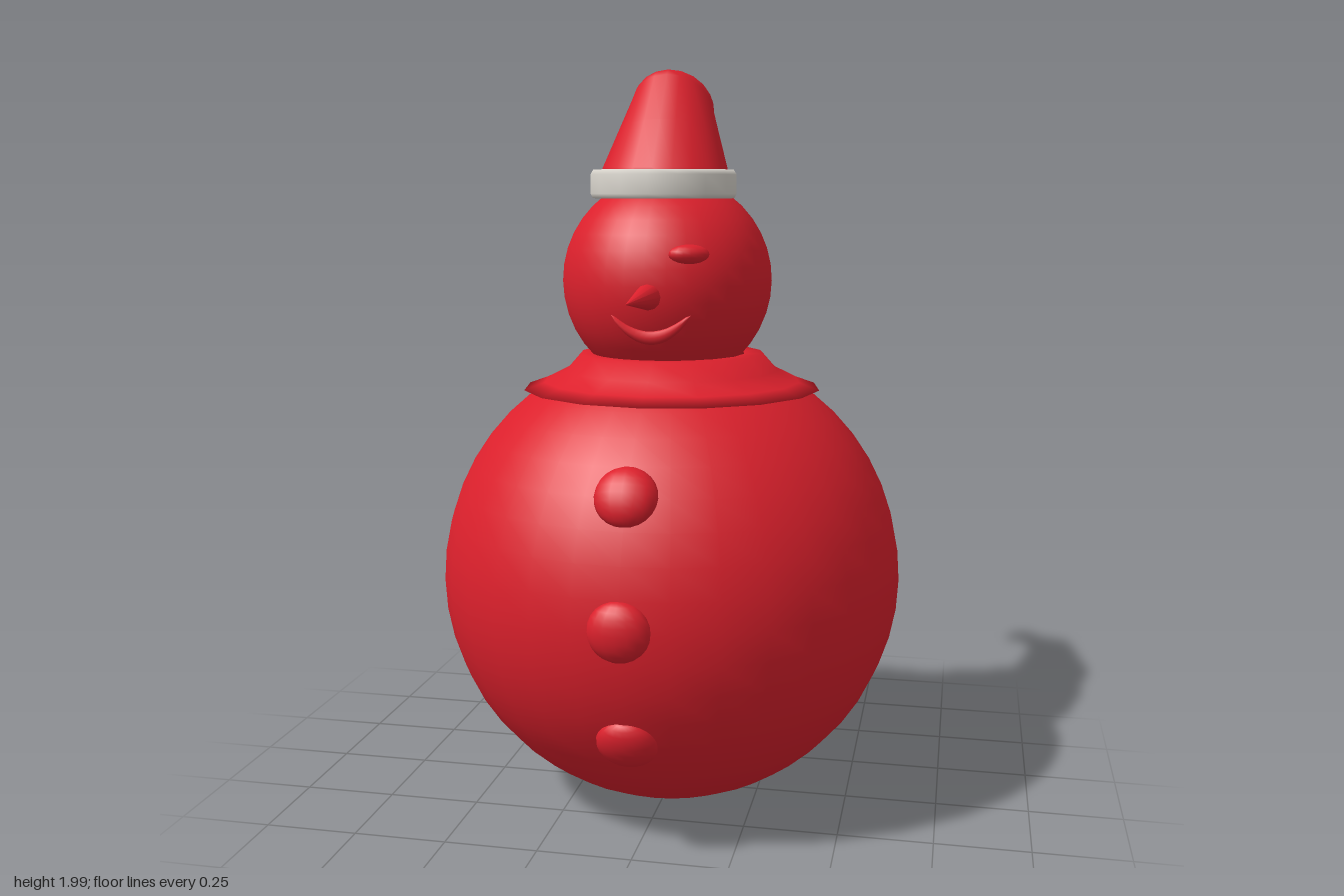
import * as THREE from 'three';

const red = new THREE.MeshStandardMaterial({ color: 0xdc202c, side: THREE.DoubleSide });
const white = new THREE.MeshStandardMaterial({ color: 0xd9d5cd, side: THREE.DoubleSide });
const V = (x, y, z) => new THREE.Vector3(x, y, z);

// Skin over a list of elliptical rings { c: centre, u, v: half axes }, closed at both ends
function loft(rings, sides) {
  const pos = [], index = [];
  for (const { c, u, v } of rings) {
    for (let j = 0; j < sides; j++) {
      const a = (j / sides) * Math.PI * 2;
      const p = c.clone().addScaledVector(u, Math.cos(a)).addScaledVector(v, Math.sin(a));
      pos.push(p.x, p.y, p.z);
    }
  }
  for (let i = 0; i < rings.length - 1; i++) {
    for (let j = 0; j < sides; j++) {
      const a = i * sides + j, b = i * sides + (j + 1) % sides;
      index.push(a, b, a + sides, b, b + sides, a + sides);
    }
  }
  const last = (rings.length - 1) * sides;
  for (let j = 1; j < sides - 1; j++) {
    index.push(0, j + 1, j, last, last + j, last + j + 1);
  }
  const g = new THREE.BufferGeometry();
  g.setAttribute('position', new THREE.Float32BufferAttribute(pos, 3));
  g.setIndex(index);
  g.computeVertexNormals();
  return g;
}

export function createModel() {
  const model = new THREE.Group();
  const add = (name, geometry, material, x = 0, y = 0, z = 0) => {
    const mesh = new THREE.Mesh(geometry, material);
    mesh.name = name;
    mesh.position.set(x, y, z);
    model.add(mesh);
    return mesh;
  };
  const lathe = (pts, sides) =>
    new THREE.LatheGeometry(pts.map(([r, y]) => new THREE.Vector2(r, y)), sides);

  // Snowballs
  add('body', new THREE.SphereGeometry(0.63, 32, 24), red, 0, 0.635, -0.015);
  add('head', new THREE.SphereGeometry(0.283, 32, 20), red, -0.012, 1.44, -0.01);

  // Flared collar, listed from the underside outward and up
  add('collar', lathe([[0.34, 1.15], [0.405, 1.15], [0.35, 1.17], [0.29, 1.2],
    [0.25, 1.245], [0.2, 1.245]], 16), red, 0, 0, -0.012);

  // Three flattened buttons following the curve of the body
  for (const angle of [-30, 0, 30]) {
    const t = THREE.MathUtils.degToRad(angle);
    const button = add('button', new THREE.SphereGeometry(1, 16, 12), red,
      -0.003, 0.64 - 0.625 * Math.sin(t), -0.015 + 0.62 * Math.cos(t));
    button.scale.set(0.08, 0.077, 0.045);
    button.rotation.x = t;
  }

  // Face: carrot nose, single eye, crescent smile
  const nose = add('nose', new THREE.ConeGeometry(0.04, 0.29, 12), red, -0.005, 1.415, 0.365);
  nose.rotation.x = Math.PI / 2;
  const eye = add('eye', new THREE.SphereGeometry(1, 16, 10), red, 0.095, 1.522, 0.235);
  eye.scale.set(0.053, 0.025, 0.028);
  eye.rotation.y = 0.4;

  const smile = [];
  for (let i = 0; i <= 16; i++) {
    const s = i / 8 - 1;
    const x = 0.105 * s, y = 1.31 + 0.058 * s * s;
    const z = -0.01 + Math.sqrt(0.283 ** 2 - x * x - (y - 1.44) ** 2);
    const k = Math.sqrt(1 - s * s) + 0.04;
    smile.push({ c: V(x - 0.003, y, z), u: V(0, 0.018 * k, 0), v: V(0, 0, 0.018 * k) });
  }
  add('mouth', loft(smile, 8), red);

  // Hat: each section runs from [front z, y] to [back z, y] with a half width
  const sections = [
    [0.165, 1.71, -0.18, 1.71, 0.17],
    [0.155, 1.74, -0.182, 1.74, 0.168],
    [0.06, 1.865, -0.186, 1.785, 0.138],
    [-0.03, 1.985, -0.19, 1.81, 0.112],
    [-0.055, 1.999, -0.2, 1.815, 0.11],
    [-0.24, 1.986, -0.285, 1.84, 0.085],
    [-0.405, 1.973, -0.365, 1.86, 0.064],
    [-0.43, 1.965, -0.38, 1.855, 0.062],
    [-0.585, 1.775, -0.54, 1.735, 0.034],
  ];
  add('hat', loft(sections.map(([z0, y0, z1, y1, w]) => ({
    c: V(-0.018, (y0 + y1) / 2, (z0 + z1) / 2),
    u: V(0, (y0 - y1) / 2, (z0 - z1) / 2),
    v: V(w, 0, 0),
  })), 20), red);

  // White trim
  add('hatBrim', lathe([[0.16, 1.66], [0.192, 1.66], [0.198, 1.672], [0.198, 1.722],
    [0.19, 1.735], [0.165, 1.735], [0.16, 1.66]], 16), white, -0.022, 0, -0.01);
  add('pompom', new THREE.SphereGeometry(0.049, 16, 12), white, -0.02, 1.75, -0.567);

  return model;
}
